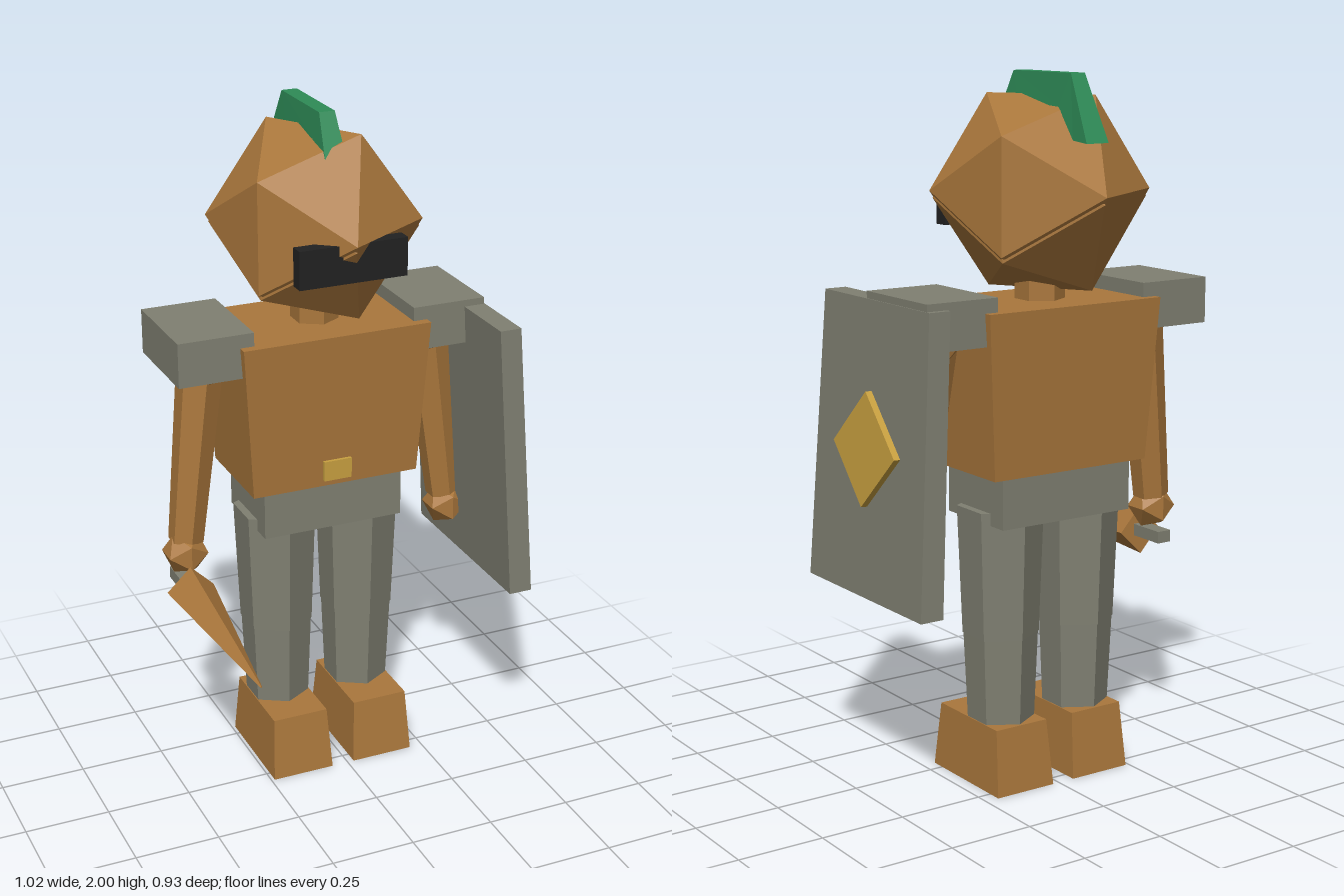
import * as THREE from 'three';

const material = (name, color) => {
  const m = new THREE.MeshStandardMaterial({ color });
  m.name = name;
  return m;
};

export function createModel() {
  const brown = material('brown', 0xaa773c);
  const grey = material('grey', 0x808072);
  const gold = material('gold', 0xc8a040);
  const green = material('green', 0x2e8b57);
  const black = material('black', 0x222222);

  const CX = -0.015, CZ = -0.165; // body axis
  const model = new THREE.Group();
  model.name = 'warrior';

  // Adds a faceted mesh
  const add = (name, geometry, mat, x = 0, y = 0, z = 0) => {
    const g = geometry.index ? geometry.toNonIndexed() : geometry;
    g.computeVertexNormals();
    const mesh = new THREE.Mesh(g, mat);
    mesh.name = name;
    mesh.position.set(x, y, z);
    model.add(mesh);
    return mesh;
  };

  // Box whose top has its own width and depth, and may be shifted in x
  const taperedBox = (wTop, dTop, wBottom, dBottom, h, shift = 0) => {
    const g = new THREE.BoxGeometry(1, h, 1);
    const p = g.attributes.position;
    for (let i = 0; i < p.count; i++) {
      const top = p.getY(i) > 0;
      p.setX(i, p.getX(i) * (top ? wTop : wBottom) + (top ? shift : 0));
      p.setZ(i, p.getZ(i) * (top ? dTop : dBottom));
    }
    return g;
  };

  // Tapered prism from point a to point b
  const limb = (name, a, b, ra, rb, mat, sides = 6) => {
    const from = new THREE.Vector3(...a), to = new THREE.Vector3(...b);
    const mid = from.clone().add(to).multiplyScalar(0.5);
    const dir = from.clone().sub(to);
    const g = new THREE.CylinderGeometry(ra, rb, dir.length(), sides);
    const mesh = add(name, g, mat, mid.x, mid.y, mid.z);
    mesh.quaternion.setFromUnitVectors(new THREE.Vector3(0, 1, 0), dir.normalize());
    return mesh;
  };

  const ball = (name, r, x, y, z) => add(name, new THREE.IcosahedronGeometry(r, 0), brown, x, y, z);

  // Head, jaw and neck
  const turn = -THREE.MathUtils.degToRad(58.5);
  ball('head', 0.305, -0.017, 1.68, -0.162).rotation.y = turn;
  ball('jaw', 0.296, -0.017, 1.66, -0.162).rotation.y = turn;
  add('neck', new THREE.CylinderGeometry(0.07, 0.07, 0.14, 6), brown, CX, 1.41, CZ);
  add('visor', new THREE.BoxGeometry(0.32, 0.11, 0.043), black, CX, 1.625, 0.0905);

  // Crest: sections of outer z, outer y, inner z, inner y, outer and inner half width
  const sections = [
    [0.0, 1.86, -0.05, 1.84, 0.033, 0.036],
    [-0.07, 2.0, -0.1, 1.92, 0.023, 0.03],
    [-0.335, 2.0, -0.29, 1.91, 0.023, 0.03],
    [-0.425, 1.82, -0.36, 1.825, 0.036, 0.033],
  ];
  const points = [], faces = [];
  sections.forEach(([zo, yo, zi, yi, ho, hi], s) => {
    points.push(-ho, yo, zo, ho, yo, zo, hi, yi, zi, -hi, yi, zi);
    if (s === 3) return;
    for (let j = 0; j < 4; j++) {
      const a = s * 4 + j, b = s * 4 + ((j + 1) % 4);
      faces.push(a, b, b + 4, a, b + 4, a + 4);
    }
  });
  faces.push(0, 3, 2, 0, 2, 1, 12, 13, 14, 12, 14, 15);
  const crest = new THREE.BufferGeometry();
  crest.setAttribute('position', new THREE.Float32BufferAttribute(points, 3));
  crest.setIndex(faces);
  add('crest', crest, green, CX, 0, 0);

  // Torso, hips and buckle
  add('torso', taperedBox(0.57, 0.355, 0.51, 0.31, 0.46), brown, CX, 1.15, CZ);
  add('hips', new THREE.BoxGeometry(0.43, 0.18, 0.27), grey, CX, 0.865, CZ);
  add('buckle', new THREE.BoxGeometry(0.085, 0.06, 0.03), gold, CX, 0.97, -0.011);

  for (const side of [-1, 1]) {
    const label = side > 0 ? 'left' : 'right';
    const x = (d) => CX + side * d;

    // Legs and feet
    limb(label + 'Thigh', [x(0.132), 0.81, CZ], [x(0.131), 0.44, CZ], 0.122, 0.108, grey);
    limb(label + 'Shin', [x(0.131), 0.45, CZ], [x(0.13), 0.17, CZ], 0.106, 0.094, grey);
    add(label + 'Foot', taperedBox(0.17, 0.285, 0.19, 0.33, 0.19), brown, x(0.13), 0.095, -0.125);

    // Arms and shoulder plates
    add(label + 'ShoulderPlate', new THREE.BoxGeometry(0.223, 0.13, 0.303), grey, x(0.355), 1.355, -0.167);
    ball(label + 'ShoulderJoint', 0.085, x(0.345), 1.3, CZ);
    limb(label + 'Arm', [x(0.35), 1.3, CZ], [x(0.415), 0.76, -0.15], 0.068, 0.052, brown);
    ball(label + 'Hand', 0.069, x(0.42), 0.725, -0.145);
  }

  // Dagger with grip
  limb('daggerBlade', [-0.443, 0.6, 0.462], [-0.443, 0.634, -0.085], 0.003, 0.071, brown, 4);
  add('daggerGrip', new THREE.BoxGeometry(0.045, 0.035, 0.13), grey, -0.443, 0.638, -0.135);

  // Leaning shield with diamond boss
  add('shield', taperedBox(0.065, 0.54, 0.07, 0.595, 0.82, -0.048), grey, 0.47, 0.99, -0.065);
  const boss = add('shieldBoss', new THREE.BoxGeometry(0.03, 0.226, 0.226), gold, 0.484, 0.995, -0.065);
  boss.rotation.set(Math.PI / 4, 0, 0.06, 'ZYX');

  return model;
}
